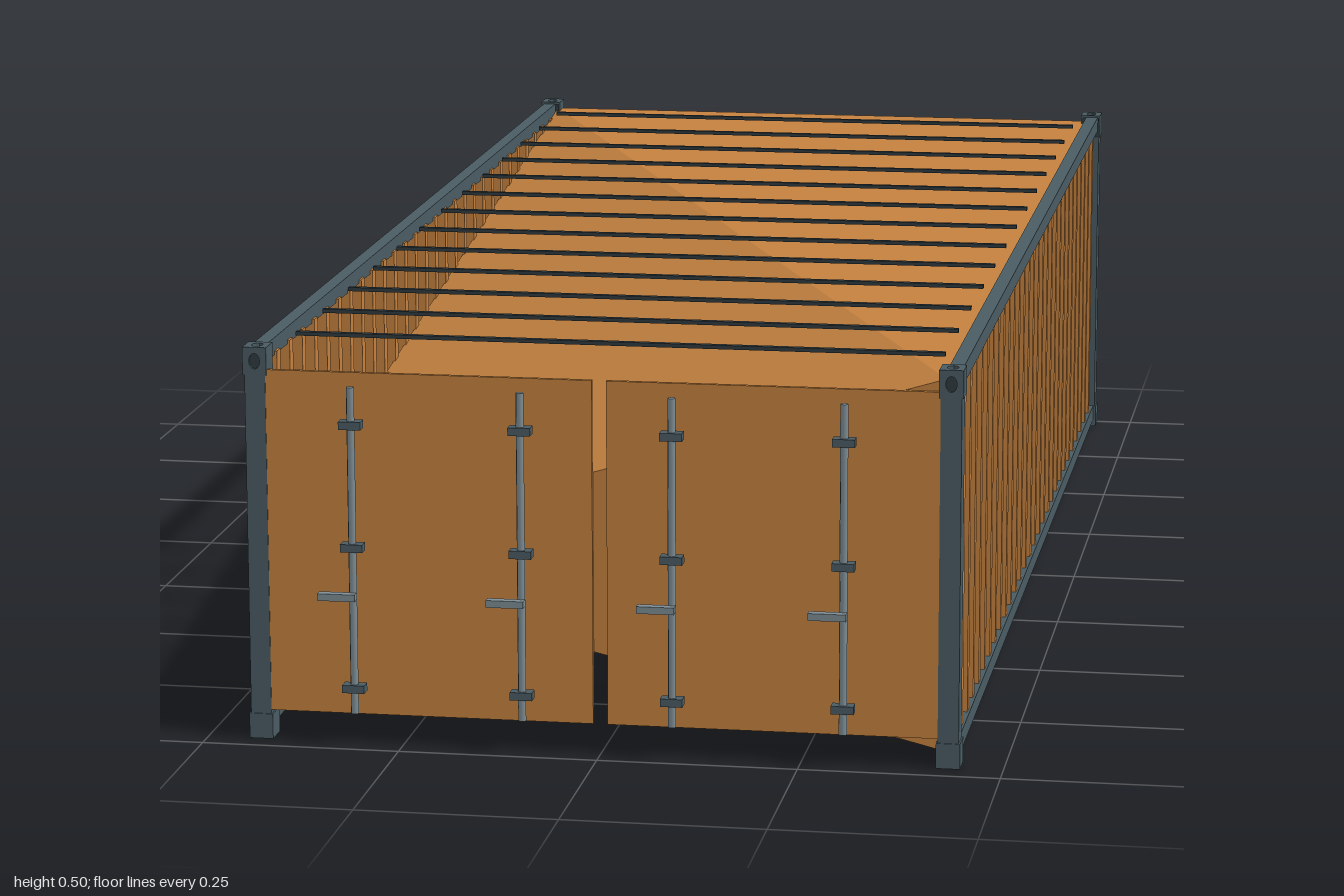
import * as THREE from 'three';

const orange = new THREE.MeshStandardMaterial({ color: 0xc4813f, flatShading: true });
const steel = new THREE.MeshStandardMaterial({ color: 0x4a5c63 });
const lightSteel = new THREE.MeshStandardMaterial({ color: 0x7d8d94 });
const dark = new THREE.MeshStandardMaterial({ color: 0x2f3b40 });

// Box given by its lower and upper limits
function box(parent, name, mat, x0, x1, y0, y1, z0, z1) {
  const mesh = new THREE.Mesh(new THREE.BoxGeometry(x1 - x0, y1 - y0, z1 - z0), mat);
  mesh.position.set((x0 + x1) / 2, (y0 + y1) / 2, (z0 + z1) / 2);
  mesh.name = name;
  parent.add(mesh);
  return mesh;
}

// Body shell: a box whose front edge on the -x side narrows to one point
function bodyShell() {
  const w = 0.425, lo = 0.02, hi = 0.487, back = -0.99, front = 0.96;
  const points = [
    -w, lo, back, w, lo, back, w, lo, front,
    -w, hi, back, w, hi, back, w, hi, front,
    -w, 0.23, front,
  ];
  const faces = [
    3, 5, 4, 3, 6, 5, // roof
    0, 1, 6, 1, 2, 6, // floor
    1, 4, 5, 1, 5, 2, // +x wall
    0, 6, 3, // -x wall
    0, 3, 4, 0, 4, 1, // back wall
    6, 2, 5, // front wall
  ];
  let geo = new THREE.BufferGeometry();
  geo.setAttribute('position', new THREE.Float32BufferAttribute(points, 3));
  geo.setIndex(faces);
  geo = geo.toNonIndexed();
  geo.computeVertexNormals();
  const mesh = new THREE.Mesh(geo, orange);
  mesh.name = 'bodyShell';
  return mesh;
}

// Corner casting: square plates with a slot on top and on the end
function cornerCasting(s, e) {
  const g = new THREE.Group();
  g.name = 'cornerCasting';
  const shape = new THREE.Shape();
  shape.moveTo(-0.015, -0.0175).lineTo(0.015, -0.0175).lineTo(0.015, 0.0175).lineTo(-0.015, 0.0175);
  const hole = new THREE.Path();
  hole.absellipse(0, 0, 0.007, 0.01, 0, Math.PI * 2, true);
  shape.holes.push(hole);
  const plate = new THREE.ExtrudeGeometry(shape, { depth: 0.004, bevelEnabled: false, curveSegments: 6 });
  const top = new THREE.Mesh(plate, steel);
  top.rotation.x = -Math.PI / 2;
  top.position.y = 0.496;
  const end = new THREE.Mesh(plate, steel);
  end.position.set(0, 0.4825, e > 0 ? 0.0135 : -0.0175);
  g.add(top, end);
  box(g, 'castingCore', dark, -0.013, 0.013, 0.465, 0.496, -0.0135, 0.0135);
  for (const t of [-1, 1]) box(g, 'castingCheek', steel, t * 0.0135 - 0.0015, t * 0.0135 + 0.0015, 0.465, 0.496, -0.0165, 0.0165);
  g.position.set(s * 0.432, 0, e > 0 ? 0.952 : -0.9825);
  return g;
}

// Locking bar with brackets and a handle
function lockingBar(x) {
  const g = new THREE.Group();
  g.name = 'lockingBar';
  const rod = new THREE.Mesh(new THREE.CylinderGeometry(0.005, 0.005, 0.415, 8), lightSteel);
  rod.name = 'rod';
  rod.position.set(0, 0.25, 0.985);
  g.add(rod);
  for (const y of [0.41, 0.255, 0.075]) {
    box(g, 'bracket', steel, -0.014, 0.014, y - 0.005, y + 0.005, 0.976, 0.993);
  }
  box(g, 'handle', lightSteel, -0.042, 0.005, 0.189, 0.198, 0.988, 1.0);
  g.position.x = x;
  return g;
}

export function createModel() {
  const model = new THREE.Group();
  model.name = 'shippingContainer';
  model.add(bodyShell());

  // Front doors
  box(model, 'rightDoor', orange, -0.425, -0.01, 0.037, 0.472, 0.961, 0.967);
  box(model, 'leftDoor', orange, 0.008, 0.425, 0.037, 0.472, 0.961, 0.967);
  for (const x of [-0.308, -0.096, 0.092, 0.304]) model.add(lockingBar(x));

  // Roof ribs
  for (let i = 0; i < 13; i++) {
    const z = -0.9 + i * 0.145;
    box(model, 'roofRib', dark, -0.41, 0.41, 0.49, 0.495, z - 0.004, z + 0.004);
  }

  for (const s of [-1, 1]) {
    const side = new THREE.Group();
    side.name = s > 0 ? 'leftSide' : 'rightSide';
    const span = (a, b) => (s > 0 ? [a, b] : [-b, -a]);

    // Vertical wall ribs
    for (let i = 0; i < 28; i++) {
      const z = 0.885 - i * 0.0668;
      box(side, 'wallRib', orange, ...span(0.422, 0.44), 0.03, 0.48, z - 0.009, z + 0.009);
    }

    // Long rails
    box(side, 'topRail', steel, ...span(0.425, 0.443), 0.475, 0.497, -0.97, 0.94);
    box(side, 'bottomRail', steel, ...span(0.425, 0.443), 0.01, 0.033, -0.97, 0.94);

    // Corner posts with castings and feet
    for (const e of [-1, 1]) {
      const z = e > 0 ? 0.952 : -0.9825;
      box(side, 'cornerPost', steel, ...span(0.419, 0.445), 0.03, 0.466, z - 0.016, z + 0.016);
      box(side, 'cornerFoot', steel, ...span(0.417, 0.447), 0, 0.032, z - 0.0175, z + 0.0175);
      side.add(cornerCasting(s, e));
    }
    model.add(side);
  }
  return model;
}
